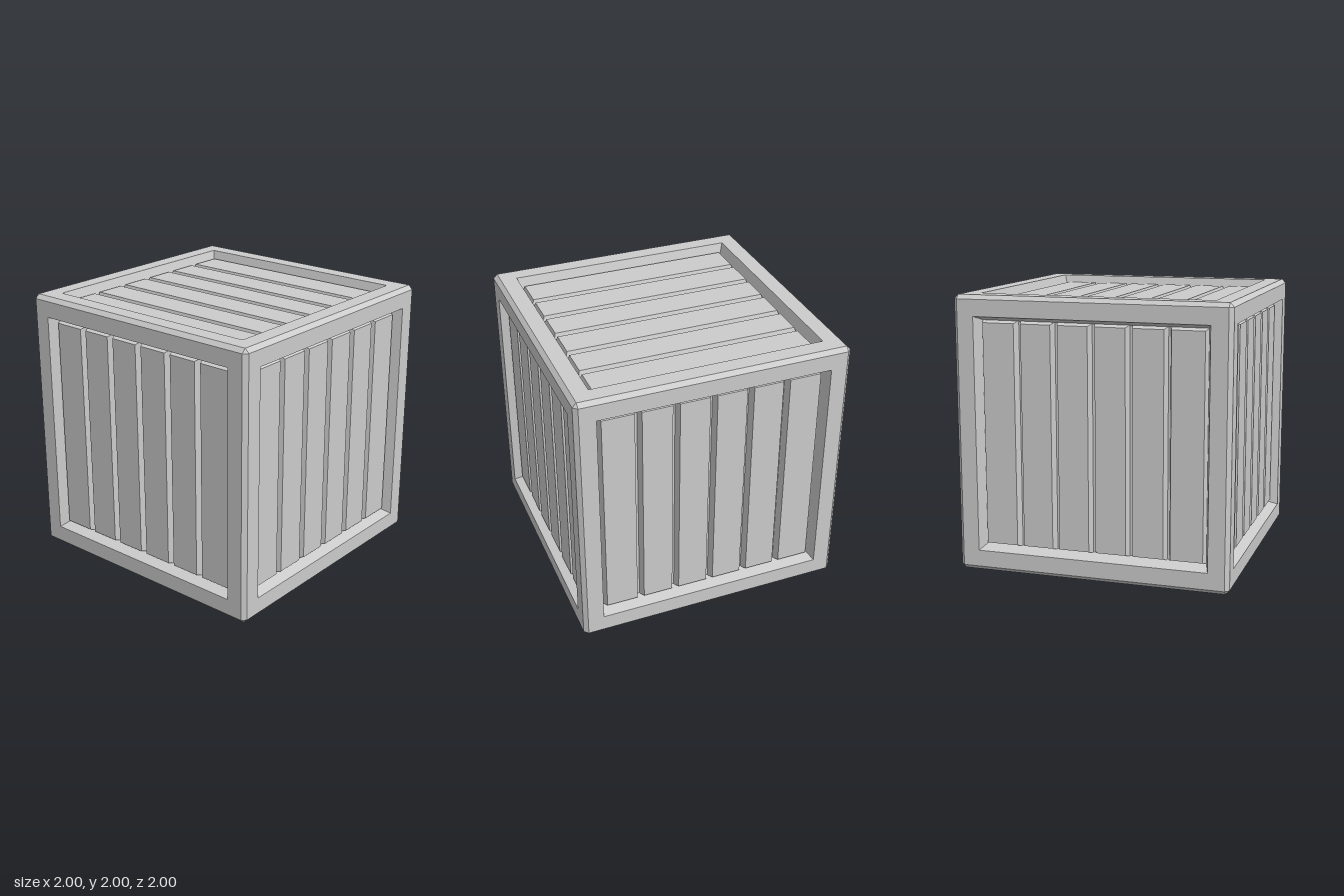
import * as THREE from 'three';

const material = new THREE.MeshStandardMaterial({ color: 0xcccccc, flatShading: true });
const EDGE = 0.97;   // where the outer chamfer starts
const FLOOR = 0.89;  // bottom of the recess
const PLANK = 0.945; // outer surface of the planks

// Flat-faced geometry from convex polygons, each fanned into triangles
function fromPolygons(polygons) {
  const positions = [];
  for (const p of polygons) {
    for (let i = 1; i < p.length - 1; i++) positions.push(...p[0], ...p[i], ...p[i + 1]);
  }
  const geometry = new THREE.BufferGeometry();
  geometry.setAttribute('position', new THREE.Float32BufferAttribute(positions, 3));
  geometry.computeVertexNormals();
  return geometry;
}

// Square loop facing +z, counter-clockwise
const square = (h, z) => [[-h, -h, z], [h, -h, z], [h, h, z], [-h, h, z]];

// Flat border, sloping recess wall and recess floor of one side
function frameGeometry() {
  const loops = [square(EDGE, 1), square(0.85, 1), square(0.815, FLOOR)];
  const polygons = [loops[2]];
  for (let k = 0; k < 2; k++) {
    for (let i = 0; i < 4; i++) {
      const j = (i + 1) % 4;
      polygons.push([loops[k][i], loops[k][j], loops[k + 1][j], loops[k + 1][i]]);
    }
  }
  return fromPolygons(polygons);
}

// Box narrowed toward its outer face
function plankGeometry() {
  const geometry = new THREE.BoxGeometry(2, 2, 1);
  const p = geometry.attributes.position;
  for (let i = 0; i < p.count; i++) {
    const outer = p.getZ(i) > 0;
    p.setXYZ(i, p.getX(i) * (outer ? 0.11 : 0.1275), p.getY(i) * (outer ? 0.803 : 0.82), outer ? PLANK : FLOOR);
  }
  geometry.computeVertexNormals();
  return geometry;
}

// Twelve chamfered edges and eight corner triangles
function chamferGeometry() {
  const polygons = [];
  const signs = [-1, 1];
  for (const a of signs) for (const b of signs) {
    for (let axis = 0; axis < 3; axis++) {
      const at = (t, u, v) => {
        const q = [0, 0, 0];
        q[axis] = t * EDGE;
        q[(axis + 1) % 3] = a * u;
        q[(axis + 2) % 3] = b * v;
        return q;
      };
      const quad = [at(-1, EDGE, 1), at(1, EDGE, 1), at(1, 1, EDGE), at(-1, 1, EDGE)];
      // Mirrored copies need the opposite corner order
      polygons.push(a * b > 0 ? quad.reverse().map((q, i, all) => all[3 - i]) : quad.reverse());
    }
    for (const c of signs) {
      const corner = [[a, b * EDGE, c * EDGE], [a * EDGE, b, c * EDGE], [a * EDGE, b * EDGE, c]];
      polygons.push(a * b * c > 0 ? corner : corner.reverse());
    }
  }
  return fromPolygons(polygons);
}

export function createModel() {
  const crate = new THREE.Group();
  crate.name = 'crate';
  const frame = frameGeometry();
  const plank = plankGeometry();

  const add = (parent, geometry, name) => {
    const mesh = new THREE.Mesh(geometry, material);
    mesh.name = name;
    parent.add(mesh);
    return mesh;
  };

  // Name, rotation about x, y and z
  const h = Math.PI / 2;
  const sides = [
    ['front', 0, 0, 0], ['left', 0, h, 0], ['back', 0, 2 * h, 0], ['right', 0, -h, 0],
    ['top', -h, 0, h], ['bottom', h, 0, 0],
  ];
  for (const [name, rx, ry, rz] of sides) {
    const side = new THREE.Group();
    side.name = name + 'Side';
    side.rotation.set(rx, ry, rz);
    add(side, frame, name + 'Frame');
    // The two outermost planks are slightly wider
    [-0.686, -0.408, -0.136, 0.136, 0.408, 0.686].forEach((x, i) => {
      const mesh = add(side, plank, name + 'Plank' + (i + 1));
      mesh.position.x = x;
      mesh.scale.x = i % 5 === 0 ? 1.06 : 1;
    });
    crate.add(side);
  }
  add(crate, chamferGeometry(), 'chamferedEdges');

  crate.position.y = 1;
  const model = new THREE.Group();
  model.name = 'slattedCrate';
  model.add(crate);
  return model;
}
